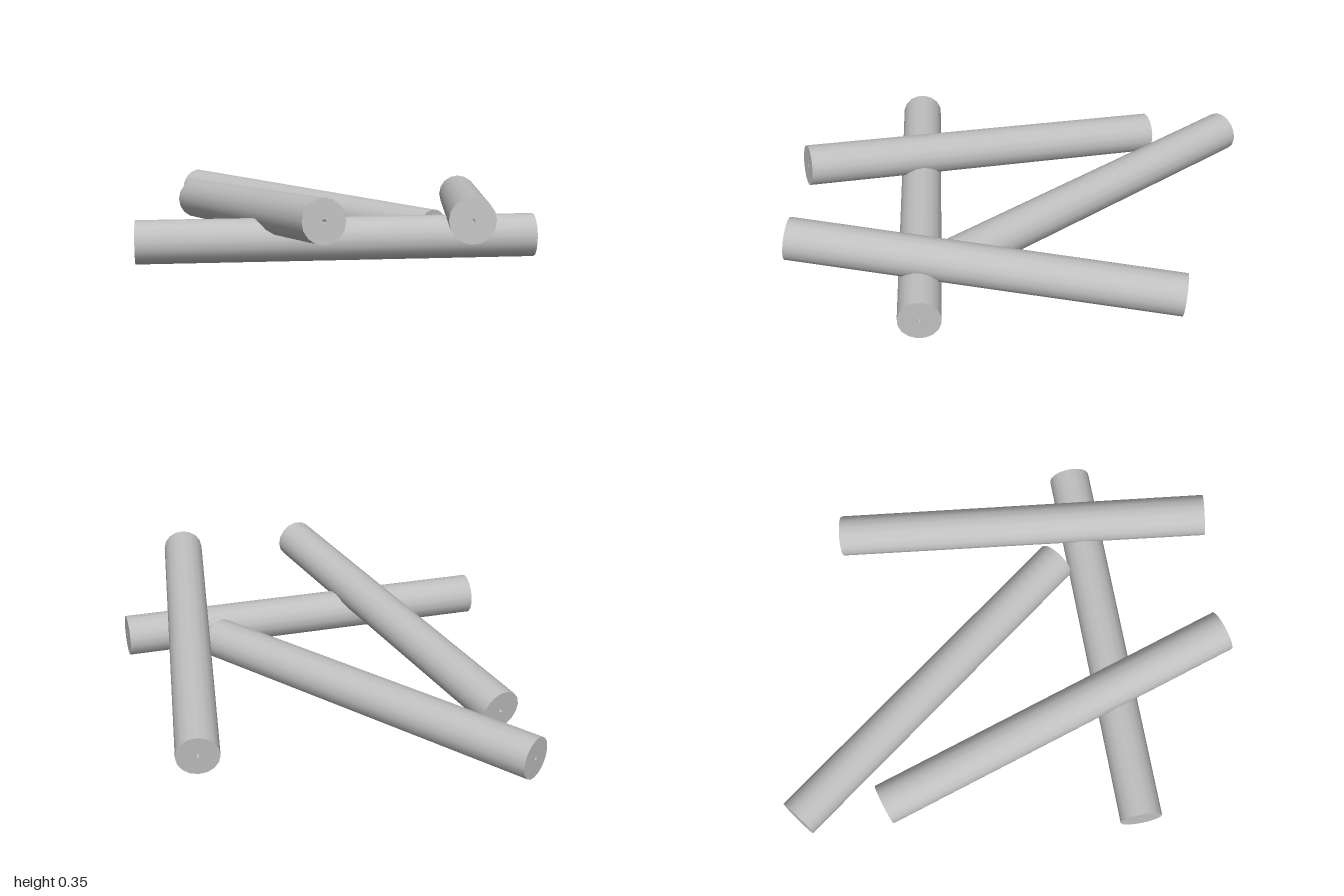
import * as THREE from 'three';
import { mergeGeometries } from 'three/addons/utils/BufferGeometryUtils.js';

const RADIUS = 0.092, BORE = 0.009, SIDES = 16;

// Round bar along +y with flat ends and a fine centre bore
function barGeometry(length) {
  const side = new THREE.CylinderGeometry(RADIUS, RADIUS, length, SIDES, 1, true);
  const bore = new THREE.CylinderGeometry(BORE, BORE, length, SIDES, 1, true);
  const caps = [1, -1].map((s) => new THREE.RingGeometry(BORE, RADIUS, SIDES, 1)
    .rotateX(-s * Math.PI / 2).translate(0, s * length / 2, 0));
  return mergeGeometries([side, bore, ...caps]);
}

export function createModel() {
  const group = new THREE.Group();
  group.name = 'stackedBars';
  const grey = new THREE.MeshStandardMaterial({ color: 0xc0c0c0, side: THREE.DoubleSide });
  grey.name = 'grey';

  // Two bars lie flat; two lean with their front ends raised
  const bars = [
    ['frontFlatBar', [-0.825, 0.092, 0.563], [0.835, 0.092, 0.31]],
    ['backFlatBar', [-0.79, 0.092, -0.935], [0.41, 0.092, 0.235]],
    ['leftLeaningBar', [0.555, 0.094, -0.765], [0.55, 0.257, 0.91]],
    ['rightLeaningBar', [-0.737, 0.094, -0.56], [-0.018, 0.257, 0.953]],
  ];
  const up = new THREE.Vector3(0, 1, 0);
  for (const [name, from, to] of bars) {
    const a = new THREE.Vector3(...from), b = new THREE.Vector3(...to);
    const mesh = new THREE.Mesh(barGeometry(a.distanceTo(b)), grey);
    mesh.name = name;
    mesh.position.copy(a).lerp(b, 0.5);
    mesh.quaternion.setFromUnitVectors(up, b.sub(a).normalize());
    group.add(mesh);
  }
  return group;
}
